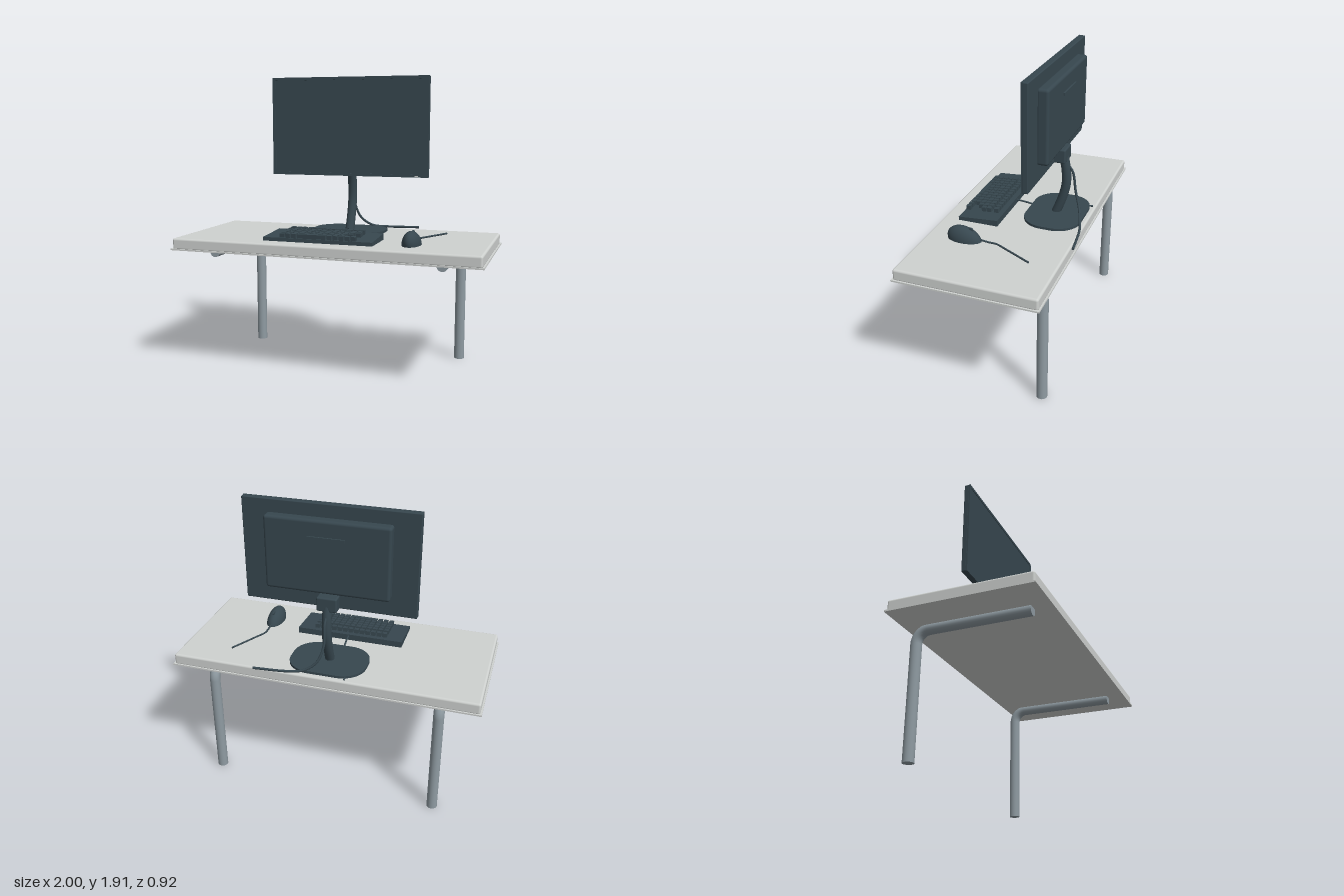
import * as THREE from 'three';
import { RoundedBoxGeometry } from 'three/addons/geometries/RoundedBoxGeometry.js';

export function createModel() {
  const model = new THREE.Group();
  model.name = 'computerDesk';
  const material = (name, color) => {
    const m = new THREE.MeshStandardMaterial({ color });
    m.name = name;
    return m;
  };
  const tableGrey = material('tableGrey', 0xcfd2d0);
  const steel = material('steel', 0x8f9ba2);
  const charcoal = material('charcoal', 0x37474f);

  const V = (p) => new THREE.Vector3(...p);
  function add(name, geometry, mat, x = 0, y = 0, z = 0, parent = model) {
    const mesh = new THREE.Mesh(geometry, mat);
    mesh.name = name;
    mesh.position.set(x, y, z);
    parent.add(mesh);
    return mesh;
  }
  // Boxes given by their extents
  function box(name, mat, [x0, x1], [y0, y1], [z0, z1], radius = 0, parent = model) {
    const size = [x1 - x0, y1 - y0, z1 - z0];
    const geometry = radius ? new RoundedBoxGeometry(...size, 3, radius) : new THREE.BoxGeometry(...size);
    return add(name, geometry, mat, (x0 + x1) / 2, (y0 + y1) / 2, (z0 + z1) / 2, parent);
  }
  // Tube with closed ends
  function rod(name, curve, radius, mat, parent = model, segments = 40, sides = 10) {
    const g = new THREE.Group();
    g.name = name;
    add(name + 'Tube', new THREE.TubeGeometry(curve, segments, radius, sides), mat, 0, 0, 0, g);
    for (const t of [0, 1]) {
      const cap = add(name + 'End', new THREE.CircleGeometry(radius, sides), mat, 0, 0, 0, g);
      const dir = curve.getTangentAt(t).multiplyScalar(t ? 1 : -1);
      cap.quaternion.setFromUnitVectors(new THREE.Vector3(0, 0, 1), dir);
      cap.position.copy(curve.getPointAt(t));
    }
    parent.add(g);
    return g;
  }
  const spline = (points) => new THREE.CatmullRomCurve3(points.map(V));

  // Tabletop with a thin lip around its underside
  box('tabletop', tableGrey, [-0.99, 0.99], [0.802, 0.877], [-0.432, 0.452], 0.014);
  box('tabletopLip', tableGrey, [-1, 1], [0.8, 0.81], [-0.441, 0.46]);

  // Bent tube legs
  for (const side of [-1, 1]) {
    const x = side * 0.742;
    const path = new THREE.CurvePath();
    path.add(new THREE.LineCurve3(V([x, 0, -0.375]), V([x, 0.7, -0.375])));
    path.add(new THREE.CubicBezierCurve3(
      V([x, 0.7, -0.375]), V([x, 0.746, -0.375]), V([x, 0.783, -0.338]), V([x, 0.783, -0.292])));
    path.add(new THREE.LineCurve3(V([x, 0.783, -0.292]), V([x, 0.783, 0.345])));
    rod(side < 0 ? 'rightLeg' : 'leftLeg', path, 0.034, steel, model, 80, 20);
  }

  // Monitor
  const monitor = new THREE.Group();
  monitor.name = 'monitor';
  model.add(monitor);
  box('panel', charcoal, [-0.545, 0.545], [1.257, 1.914], [-0.21, -0.175], 0.006, monitor);
  box('screen', charcoal, [-0.525, 0.525], [1.275, 1.895], [-0.18, -0.172], 0, monitor);
  for (const s of [-1, 1]) {
    box('sideBezel', charcoal, [s * 0.535 - 0.01, s * 0.535 + 0.01], [1.257, 1.914], [-0.178, -0.168], 0, monitor);
  }
  box('topBezel', charcoal, [-0.525, 0.525], [1.895, 1.914], [-0.178, -0.168], 0, monitor);
  box('bottomBezel', charcoal, [-0.525, 0.525], [1.257, 1.275], [-0.178, -0.168], 0, monitor);
  box('powerLight', tableGrey, [0.455, 0.478], [1.262, 1.268], [-0.169, -0.166], 0, monitor);
  box('backCase', charcoal, [-0.388, 0.388], [1.372, 1.834], [-0.275, -0.2], 0.018, monitor);
  box('backRidge', charcoal, [-0.115, 0.115], [1.717, 1.735], [-0.284, -0.27], 0, monitor);

  // Stand: hinge block, curved neck and oval foot
  box('hinge', charcoal, [-0.065, 0.065], [1.256, 1.348], [-0.28, -0.205], 0.01, monitor);
  rod('neck', spline([[0, 1.29, -0.25], [0, 1.2, -0.268], [0, 1.1, -0.272], [0, 1, -0.25], [0, 0.885, -0.208]]),
    0.03, charcoal, monitor, 32, 16);
  const [w, d, r] = [0.25, 0.186, 0.155];
  const foot = new THREE.Shape();
  foot.moveTo(-w + r, -d);
  foot.absarc(w - r, -d + r, r, -Math.PI / 2, 0);
  foot.absarc(w - r, d - r, r, 0, Math.PI / 2);
  foot.absarc(-w + r, d - r, r, Math.PI / 2, Math.PI);
  foot.absarc(-w + r, -d + r, r, Math.PI, Math.PI * 1.5);
  const footGeometry = new THREE.ExtrudeGeometry(foot, { depth: 0.016, bevelEnabled: false, curveSegments: 16 });
  footGeometry.rotateX(-Math.PI / 2);
  add('foot', footGeometry, charcoal, 0, 0.878, -0.216, monitor);
  rod('monitorCable', spline([[0, 1.24, -0.27], [0, 1.185, -0.312], [0, 1.05, -0.336], [0.035, 0.95, -0.372],
    [0.11, 0.897, -0.4], [0.2, 0.887, -0.425], [0.43, 0.887, -0.453]]), 0.008, charcoal, monitor, 60);

  // Keyboard: a wedge with rows of keys
  const keyboard = new THREE.Group();
  keyboard.name = 'keyboard';
  model.add(keyboard);
  const wedge = new THREE.Shape();
  wedge.moveTo(-0.345, 0.877);
  wedge.lineTo(-0.08, 0.877);
  wedge.lineTo(-0.08, 0.917);
  wedge.lineTo(-0.345, 0.9);
  const wedgeGeometry = new THREE.ExtrudeGeometry(wedge, { depth: 0.715, bevelEnabled: false });
  wedgeGeometry.rotateY(Math.PI / 2);
  add('keyboardBody', wedgeGeometry, charcoal, -0.4, 0, 0, keyboard);
  const tilt = Math.atan2(0.017, 0.265);
  const key = (x0, x1, z) => {
    const mesh = add('key', new THREE.BoxGeometry(x1 - x0, 0.034, 0.029), charcoal,
      (x0 + x1) / 2, 0.917 - (z - 0.08) * 0.064 + 0.01, z, keyboard);
    mesh.rotation.x = tilt;
  };
  const pitch = 0.039, left = -0.29;
  [[0.13, 13], [0.18, 13], [0.216, 13], [0.252, 12], [0.288, 11], [0.324, 13]].forEach(([z, count], row) => {
    for (let i = 0; i < count; i++) {
      if (row === 5 && i > 2 && i < 8) continue;
      key(left + i * pitch, left + i * pitch + 0.03, z);
    }
  });
  key(left + 3 * pitch, left + 8 * pitch - 0.009, 0.324);
  rod('keyboardCable', spline([[-0.035, 0.905, 0.09], [-0.038, 0.896, 0.02], [-0.045, 0.885, -0.06],
    [-0.12, 0.884, -0.25], [-0.155, 0.884, -0.415]]), 0.006, charcoal, keyboard);

  // Mouse: half an egg, highest towards the rear
  const mouse = new THREE.Group();
  mouse.name = 'mouse';
  model.add(mouse);
  const shell = new THREE.SphereGeometry(1, 32, 12, 0, Math.PI * 2, 0, Math.PI / 2);
  shell.scale(0.058, 0.088, 0.11);
  const p = shell.attributes.position;
  for (let i = 0; i < p.count; i++) p.setZ(i, p.getZ(i) + 0.025 * (p.getY(i) / 0.088));
  shell.computeVertexNormals();
  add('mouseShell', shell, charcoal, 0.527, 0.877, 0.205, mouse);
  const wheel = new THREE.CylinderGeometry(0.015, 0.015, 0.012, 16);
  wheel.rotateZ(Math.PI / 2);
  add('scrollWheel', wheel, charcoal, 0.527, 0.946, 0.165, mouse);
  rod('mouseCable', spline([[0.527, 0.892, 0.11], [0.527, 0.885, 0.05], [0.53, 0.884, -0.005],
    [0.565, 0.884, -0.075], [0.66, 0.884, -0.255]]), 0.006, charcoal, mouse);

  return model;
}
